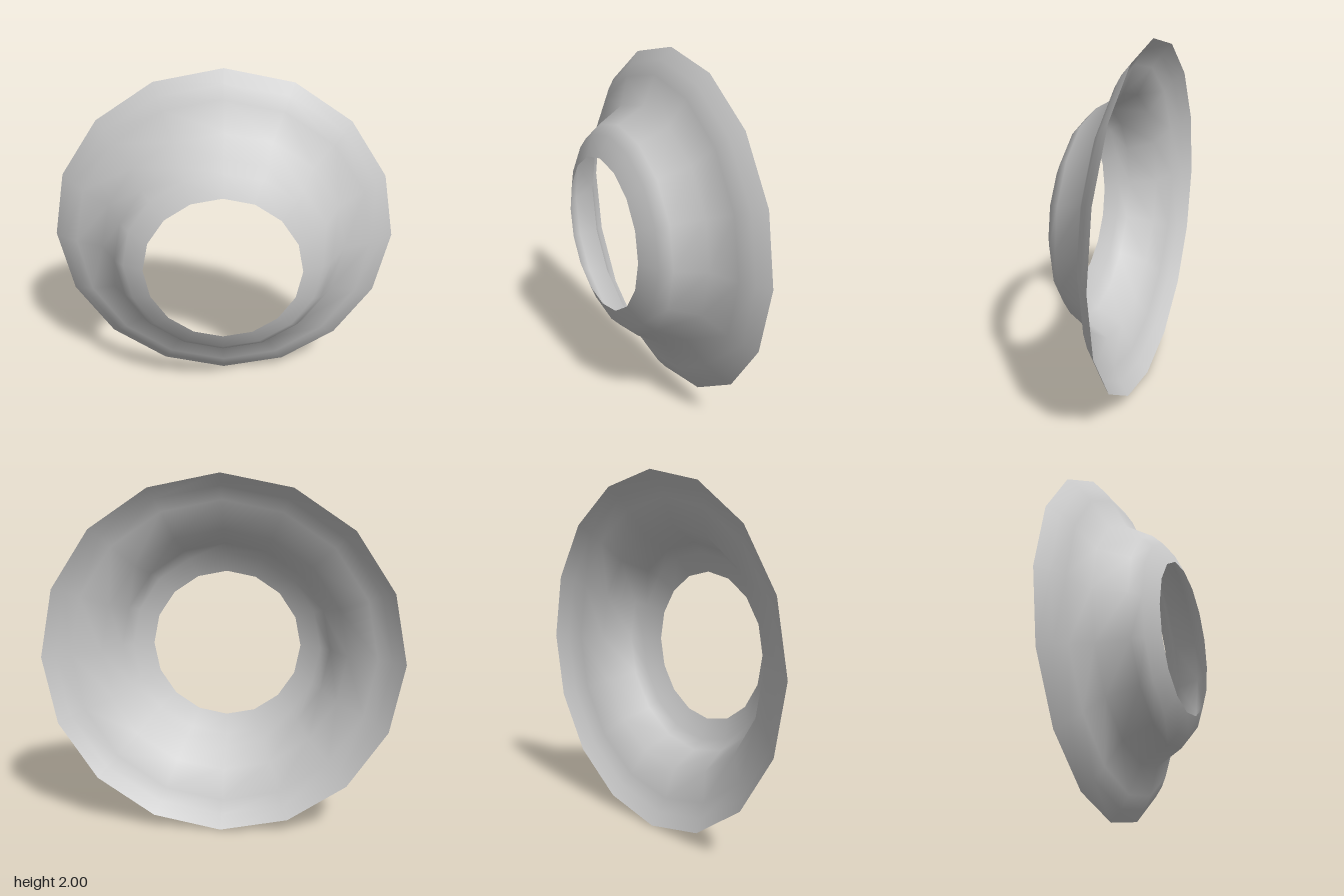
import * as THREE from 'three';

export function createModel() {
  const group = new THREE.Group();

  // Thin open flared ring: profile as (radius, depth) from wide back rim to front opening
  const profile = [
    [1.0, -0.215], [0.935, -0.16], [0.86, -0.115], [0.7, -0.05],
    [0.61, 0.105], [0.555, 0.16], [0.44, 0.215],
  ].map(([r, z]) => new THREE.Vector2(r, z));

  const geometry = new THREE.LatheGeometry(profile, 16);
  geometry.rotateX(Math.PI / 2); // lathe axis faces the front
  geometry.translate(0, 1, 0);

  const material = new THREE.MeshStandardMaterial({ color: 0xcccccc, side: THREE.DoubleSide });
  const ring = new THREE.Mesh(geometry, material);
  ring.name = 'flaredRing';
  group.add(ring);
  return group;
}
